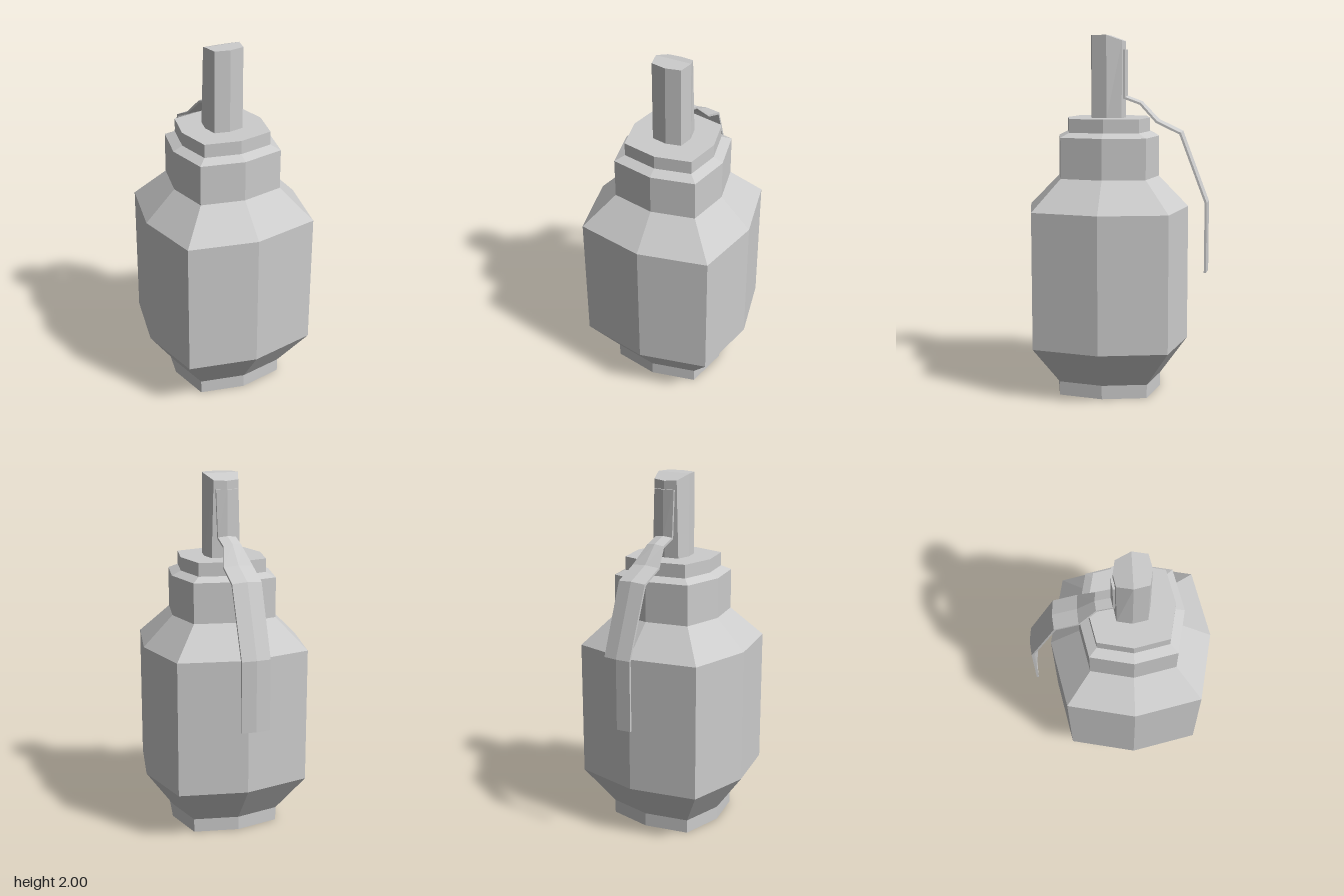
import * as THREE from 'three';

const steel = new THREE.MeshStandardMaterial({ color: 0xcccccc });
steel.name = 'paleGrey';

// Skin a row of matching closed rings with flat facets and close both ends
function loft(rings) {
  const n = rings[0].length, pos = [];
  const tri = (a, b, c) => pos.push(...a, ...b, ...c);
  for (let r = 0; r < rings.length - 1; r++) {
    const lo = rings[r], hi = rings[r + 1];
    for (let i = 0; i < n; i++) {
      const j = (i + 1) % n;
      tri(lo[i], lo[j], hi[j]);
      tri(lo[i], hi[j], hi[i]);
    }
  }
  // fans start at the third corner so a folded end creases side to side
  const first = rings[0], last = rings[rings.length - 1];
  for (let i = 1; i < n - 1; i++) {
    const b = (2 + i) % n, c = (3 + i) % n;
    tri(first[2], first[c], first[b]);
    tri(last[2], last[b], last[c]);
  }
  const g = new THREE.BufferGeometry();
  g.setAttribute('position', new THREE.Float32BufferAttribute(pos, 3));
  g.computeVertexNormals();
  return g;
}

function part(name, geometry) {
  const mesh = new THREE.Mesh(geometry, steel);
  mesh.name = name;
  return mesh;
}

const CENTRE = 0.058;

// Eight-cornered ring with pronounced diagonal corners
function octagon(r, y) {
  const d = 0.825;
  return [[0, 1], [d, d], [1, 0], [d, -d], [0, -1], [-d, -d], [-1, 0], [-d, d]]
    .map(([x, z]) => [x * r, y, CENTRE + z * r * 0.985]);
}

// Post with a top that slopes down towards the back
function post() {
  const ring = (y, drop, backX) => [
    [0, 0.157], [0.083, 0.14], [0.1, CENTRE], [backX, -0.025],
    [0, -0.038], [-backX, -0.025], [-0.1, CENTRE], [-0.083, 0.14],
  ].map(([x, z]) => [x, y - drop * Math.max(0, CENTRE - z), z]);
  return loft([ring(1.54, 0, 0.083), ring(2, 0.36, 0.071)]);
}

// Bent strip with a shallow ridge along its middle
function lever() {
  // z, y, half width
  const path = [
    [-0.041, 1.92, 0.062], [-0.041, 1.66, 0.052], [-0.128, 1.628, 0.052],
    [-0.222, 1.53, 0.083], [-0.354, 1.467, 0.083], [-0.5, 1.08, 0.081], [-0.5, 0.685, 0.081],
  ];
  const t = 0.012, ridge = 0.009;
  const dir = (a, b) => new THREE.Vector2(b[0] - a[0], b[1] - a[1]).normalize();
  const rings = path.map((p, i) => {
    const d0 = dir(path[Math.max(i - 1, 0)], path[Math.max(i, 1)]);
    const last = path.length - 1;
    const d1 = dir(path[Math.min(i, last - 1)], path[Math.min(i + 1, last)]);
    const m = d0.clone().add(d1).normalize();
    const s = 1 / m.dot(d1);
    const [z, y, w] = p;
    const at = (x, off) => [x, y - m.x * off * s, z + m.y * off * s];
    return [at(-w, 0), at(0, ridge), at(w, 0), at(w, -t), at(0, ridge - t), at(-w, -t)];
  });
  return loft(rings);
}

export function createModel() {
  const group = new THREE.Group();
  group.name = 'facetedCanister';

  // Main shell: foot, bulging barrel and shoulder
  group.add(part('body', loft([
    octagon(0.302, 0), octagon(0.302, 0.077), octagon(0.457, 0.29),
    octagon(0.457, 1.05), octagon(0.288, 1.22),
  ])));
  // Collar stepping in to a narrower cap
  group.add(part('collar', loft([
    octagon(0.288, 1.22), octagon(0.288, 1.445),
    octagon(0.236, 1.47), octagon(0.236, 1.545),
  ])));
  group.add(part('post', post()));
  group.add(part('lever', lever()));
  return group;
}
